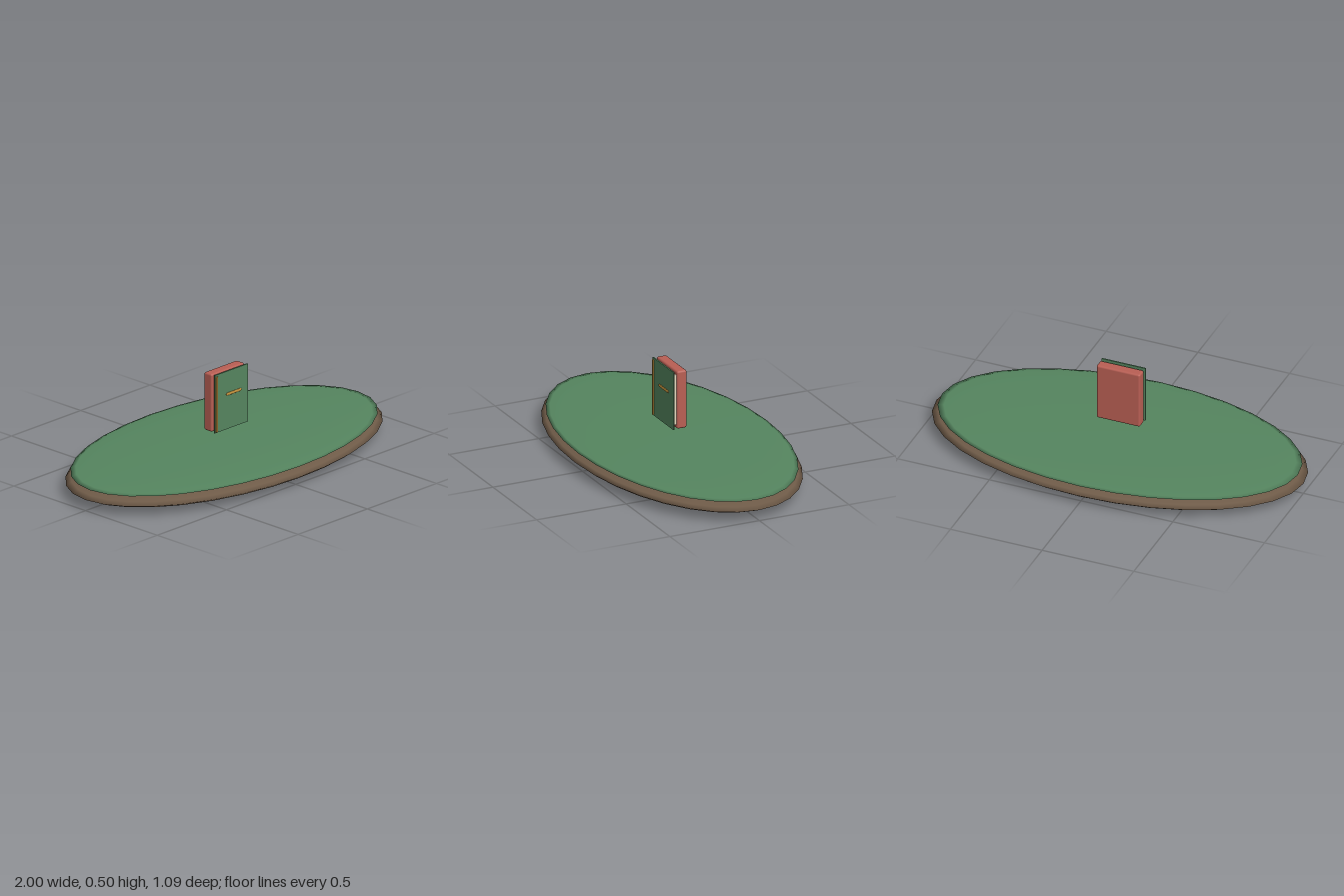
import * as THREE from 'three';
import { RoundedBoxGeometry } from 'three/addons/geometries/RoundedBoxGeometry.js';

const material = (name, color) => {
  const m = new THREE.MeshStandardMaterial({ color });
  m.name = name;
  return m;
};

export function createModel() {
  const group = new THREE.Group();
  const green = material('green', 0x55855f);
  const brown = material('brown', 0x6f5b48);
  const red = material('red', 0xb95f54);
  const cream = material('cream', 0xe6dcc0);
  const gold = material('gold', 0xc9973f);

  const add = (name, geometry, mat, x, y, z) => {
    const mesh = new THREE.Mesh(geometry, mat);
    mesh.name = name;
    mesh.position.set(x, y, z);
    group.add(mesh);
    return mesh;
  };

  // Flattened spheres: earth base and grass layer
  const disc = (name, mat, y, rx, ry, rz) =>
    add(name, new THREE.SphereGeometry(1, 32, 12).scale(rx, ry, rz), mat, 0, y, 0);
  disc('earthBase', brown, 0.06, 1, 0.057, 0.545);
  disc('grassTop', green, 0.105, 0.97, 0.018, 0.525);

  // Upright book: back block, pages and front cover
  add('bookBlock', new RoundedBoxGeometry(0.238, 0.31, 0.055, 2, 0.01), red, 0, 0.345, 0.0015);
  add('pages', new RoundedBoxGeometry(0.205, 0.27, 0.016, 2, 0.005), cream, 0.008, 0.345, 0.034);
  add('frontCover', new THREE.BoxGeometry(0.238, 0.31, 0.007), green, 0, 0.345, 0.0475);

  // Gilded trim on the cover
  add('spineStrip', new THREE.BoxGeometry(0.013, 0.296, 0.005), gold, -0.108, 0.343, 0.0545);
  add('titleBar', new THREE.CapsuleGeometry(0.008, 0.094, 4, 10).rotateZ(Math.PI / 2).scale(1, 1, 0.4),
    gold, 0.015, 0.378, 0.0545);

  return group;
}
